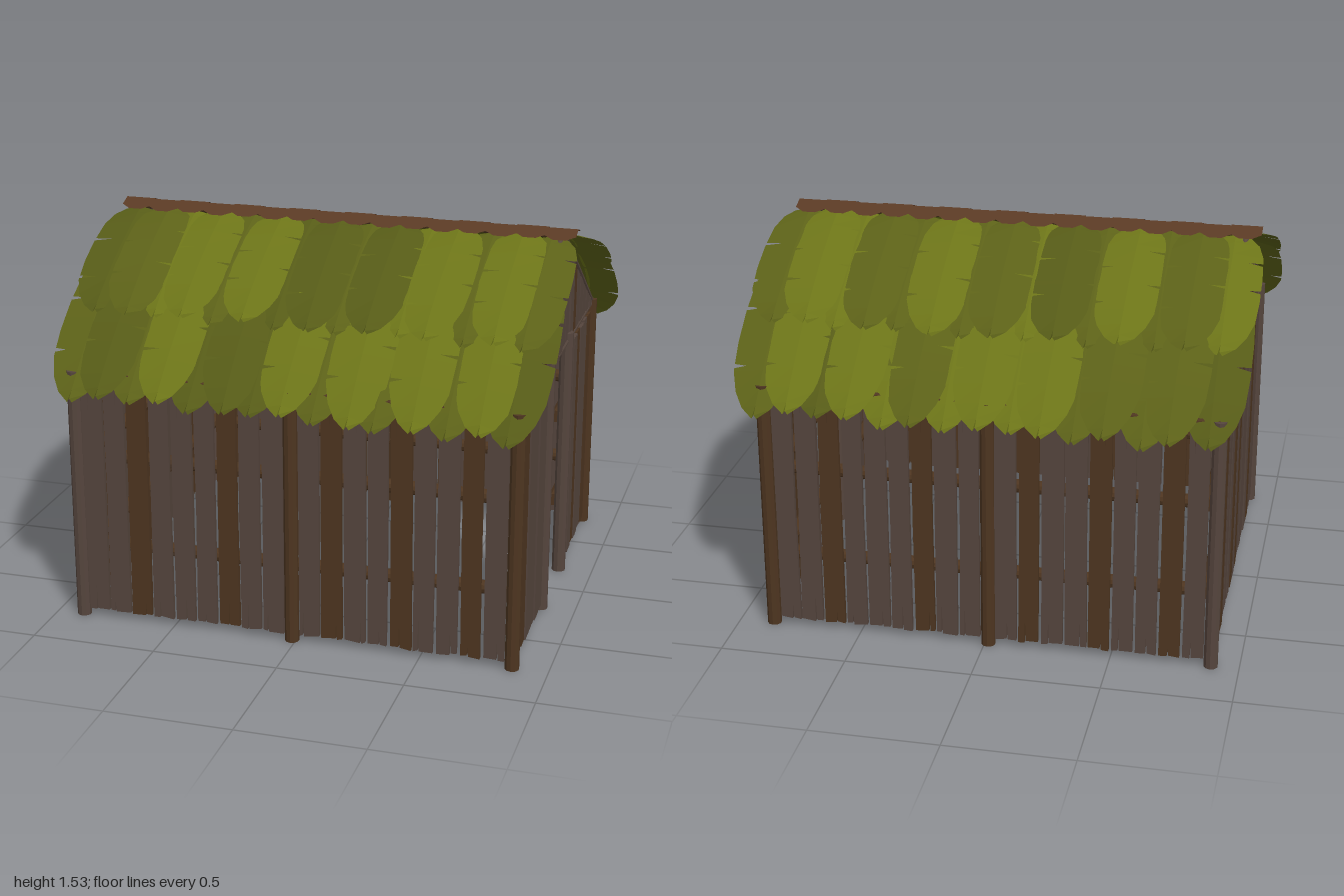
import * as THREE from 'three';

const mat = (color, side = THREE.FrontSide) =>
  new THREE.MeshStandardMaterial({ color, side, flatShading: true, roughness: 0.9 });
const GREY = mat(0x55453d), BROWN = mat(0x4d3520), RIDGE = mat(0x5a3a24, THREE.DoubleSide);
const LEAVES = [0x5c6118, 0x6c7418, 0x565b17].map(c => mat(c, THREE.DoubleSide));

// seeded random numbers
let seed = 7;
const rnd = () => (seed = (seed * 16807) % 2147483647) / 2147483647;
const vary = a => (rnd() - 0.5) * 2 * a;

const HX = 0.875, HZ = 0.755, EAVE = 1.02;            // half length, half depth, eave height
const rafterY = z => 1.525 - 0.667 * Math.abs(z);      // straight timber slope
const thatchY = z => 1.53 - 0.322 * z - 0.383 * z * z; // bulging leaf slope

function add(parent, name, geometry, material) {
  const mesh = new THREE.Mesh(geometry, material);
  mesh.name = name;
  parent.add(mesh);
  return mesh;
}

// round timber between two points
function pole(parent, name, a, b, r, material) {
  const p = new THREE.Vector3(...a), q = new THREE.Vector3(...b);
  const mesh = add(parent, name, new THREE.CylinderGeometry(r, r, p.distanceTo(q), 10), material);
  mesh.position.copy(p).lerp(q, 0.5);
  mesh.quaternion.setFromUnitVectors(new THREE.Vector3(0, 1, 0), q.sub(p).normalize());
}

// rough board with split ends; topL and topR are the heights of its upper corners
function plank(parent, name, u, w, y0, topL, topR, material, split = 0.1) {
  const h = w / 2, s = new THREE.Shape();
  const cut = vary(h * 0.6), cut2 = vary(h * 0.6);
  const top = x => topL + (topR - topL) * (x + h) / w;
  s.moveTo(-h + vary(0.003), y0 + vary(0.006));
  s.lineTo(cut - 0.003, y0 + vary(0.005));
  s.lineTo(cut, y0 + split * (0.3 + rnd()));
  s.lineTo(cut + 0.003, y0 + vary(0.005));
  s.lineTo(h + vary(0.003), y0 + vary(0.006));
  s.lineTo(h + vary(0.003), (y0 + topR) / 2);
  s.lineTo(h, topR);
  s.lineTo(cut2 + 0.003, top(cut2));
  s.lineTo(cut2, top(cut2) - split * (0.3 + rnd()));
  s.lineTo(cut2 - 0.003, top(cut2));
  s.lineTo(-h, topL);
  s.lineTo(-h + vary(0.003), (y0 + topL) / 2);
  const g = new THREE.ExtrudeGeometry(s, { depth: 0.018, bevelEnabled: false });
  add(parent, name, g, material).position.set(u, 0, -0.009 + vary(0.003));
}

// run of boards between u0 and u1, with two rails behind them
function boards(parent, u0, u1, n, brown) {
  const pitch = (u1 - u0) / n;
  for (let i = 0; i < n; i++) {
    const top = 0.985 + vary(0.004);
    plank(parent, 'wallPlank', u0 + (i + 0.5) * pitch, pitch - 0.012 + vary(0.004), 0.03, top, top,
      brown.includes(i) ? BROWN : GREY);
  }
  for (const y of [0.31, 0.68])
    pole(parent, 'wallRail', [u0 - 0.02, y, -0.034], [u1 + 0.02, y, -0.034], 0.026, BROWN);
}

// boards filling the triangle under the roof
function gable(parent) {
  const n = 19, pitch = 1.46 / n;
  for (let i = 0; i < n; i++) {
    const u = -0.73 + (i + 0.5) * pitch, h = pitch / 2 - 0.005;
    const l = rafterY(u - h) - 0.012, r = rafterY(u + h) - 0.012;
    const low = Math.min(l, r);
    plank(parent, 'gablePlank', u, 2 * h, EAVE, Math.max(l, EAVE + 0.01), Math.max(r, EAVE + 0.01),
      i === 5 || i === 8 || i === 13 ? BROWN : GREY, Math.min(0.06, Math.max(0, low - EAVE) * 0.3));
  }
}

// large leaf draped on the slope from z0 to z1, with slits torn in its edges
function leaf(parent, x, z0, z1, width, lift, material) {
  const outline = [[0, 0.5], [0.08, 0.78], [0.2, 0.94], [0.4, 1], [0.6, 1], [0.76, 0.94], [0.87, 0.74], [0.95, 0.45], [1, 0.08]];
  const half = t => {
    const i = Math.max(1, outline.findIndex(p => p[0] >= t));
    const [a, b] = [outline[i - 1], outline[i]];
    return width / 2 * (a[1] + (b[1] - a[1]) * (t - a[0]) / (b[0] - a[0]));
  };
  const rows = outline.map(([t]) => [t, 1, 1]);
  for (let k = 0; k < 4; k++) {
    const t = 0.24 + k * 0.155 + vary(0.04), depth = 0.35 + rnd() * 0.35, left = k % 2;
    rows.push([t - 0.012, 1, 1], [t, left ? depth : 1, left ? 1 : depth], [t + 0.012, 1, 1]);
  }
  rows.sort((a, b) => a[0] - b[0]);
  const pos = [], index = [], skew = vary(0.012);
  rows.forEach(([t, l, r], i) => {
    const z = z0 + (z1 - z0) * t, y = thatchY(z) + lift, w = half(t);
    const cx = x + skew * t;
    pos.push(cx - w * l, y - 0.014 * l, z, cx, y, z, cx + w * r, y - 0.014 * r, z);
    if (i) for (const c of [0, 1]) {
      const a = (i - 1) * 3 + c, b = i * 3 + c;
      index.push(a, b, a + 1, a + 1, b, b + 1);
    }
  });
  const g = new THREE.BufferGeometry();
  g.setAttribute('position', new THREE.Float32BufferAttribute(pos, 3));
  g.setIndex(index);
  g.computeVertexNormals();
  add(parent, 'roofLeaf', g, material);
}

// one roof slope: two courses, each of two staggered layers
function slope(parent) {
  for (const [z0, z1, lift] of [[0.28, 0.855, -0.012], [0.035, 0.565, 0]])
    for (const [n, drop] of [[8, -0.012], [7, 0]])
      for (let i = 0; i < n; i++)
        leaf(parent, (i - (n - 1) / 2) * 0.245 + vary(0.008), z0, z1 + vary(0.01), 0.25, lift + drop,
          LEAVES[Math.floor(rnd() * 3)]);
}

// folded bark tiles along the ridge
function ridgeCap(parent) {
  const n = 16, pitch = 1.87 / n;
  for (let i = 0; i < n; i++) {
    const s = new THREE.Shape([[-0.062, 0], [0.062, 0], [0.062, 0.055], [0.025, 0.082], [-0.025, 0.082], [-0.062, 0.055]]
      .map(p => new THREE.Vector2(...p)));
    for (const side of [1, -1]) {
      const tile = add(parent, 'ridgeTile', new THREE.ShapeGeometry(s), RIDGE);
      tile.rotation.x = side * (Math.PI / 2 + 0.36);
      if (side < 0) tile.rotation.x = -(Math.PI / 2 + 0.36);
      tile.position.set((i - (n - 1) / 2) * pitch, 1.535 - (i % 2) * 0.003, 0);
    }
  }
}

export function createModel() {
  seed = 7;
  const model = new THREE.Group();
  model.name = 'hut';
  const frame = new THREE.Group();
  frame.name = 'frame';
  frame.position.x = -0.015;
  model.add(frame);

  // posts
  for (const z of [-HZ, HZ])
    for (const x of [-HX, 0, HX])
      pole(frame, 'post', [x, 0, z], [x, 1.03, z], 0.028, x < 0 ? GREY : BROWN);
  for (const z of [-0.195, 0.195]) pole(frame, 'doorPost', [HX, 0, z], [HX, 1.05, z], 0.028, GREY);

  // walls, each laid out flat and turned to face outward
  const wall = (name, x, z, turn) => {
    const g = new THREE.Group();
    g.name = name;
    g.position.set(x, 0, z);
    g.rotation.y = turn;
    frame.add(g);
    return g;
  };
  for (const [name, z, turn] of [['frontWall', HZ, 0], ['backWall', -HZ, Math.PI]]) {
    const g = wall(name, 0, z, turn);
    boards(g, -0.85, -0.025, 9, [2, 6]);
    boards(g, 0.025, 0.85, 9, [1, 4, 7]);
  }
  const doorWall = wall('doorWall', HX, 0, Math.PI / 2);
  boards(doorWall, -0.728, -0.222, 6, [1]);
  boards(doorWall, 0.222, 0.728, 6, [2, 5]);
  gable(doorWall);
  const endWall = wall('endWall', -HX, 0, -Math.PI / 2);
  boards(endWall, -0.728, 0.728, 16, [2, 6, 8, 13]);
  gable(endWall);

  // roof timbers
  for (const s of [-1, 1]) {
    pole(frame, 'wallPlate', [-HX, EAVE, s * HZ], [HX, EAVE, s * HZ], 0.016, BROWN);
    pole(frame, 'purlin', [-HX, rafterY(0.38), s * 0.38], [HX, rafterY(0.38), s * 0.38], 0.014, GREY);
    for (const x of [-HX, 0, HX])
      pole(frame, 'rafter', [x, rafterY(0.77), s * 0.77], [x, 1.515, 0], 0.014, GREY);
  }
  for (const x of [-HX, 0, HX]) pole(frame, 'tieBeam', [x, 1.015, -HZ], [x, 1.015, HZ], 0.012, GREY);
  pole(frame, 'ridgeBeam', [-HX, 1.505, 0], [HX, 1.505, 0], 0.014, BROWN);
  ridgeCap(frame);

  // leaf roof
  const front = new THREE.Group(), back = new THREE.Group();
  front.name = 'frontRoof';
  back.name = 'backRoof';
  front.position.x = -0.02;
  back.position.x = 0.01;
  back.rotation.y = Math.PI;
  slope(front);
  slope(back);
  model.add(front, back);
  return model;
}
